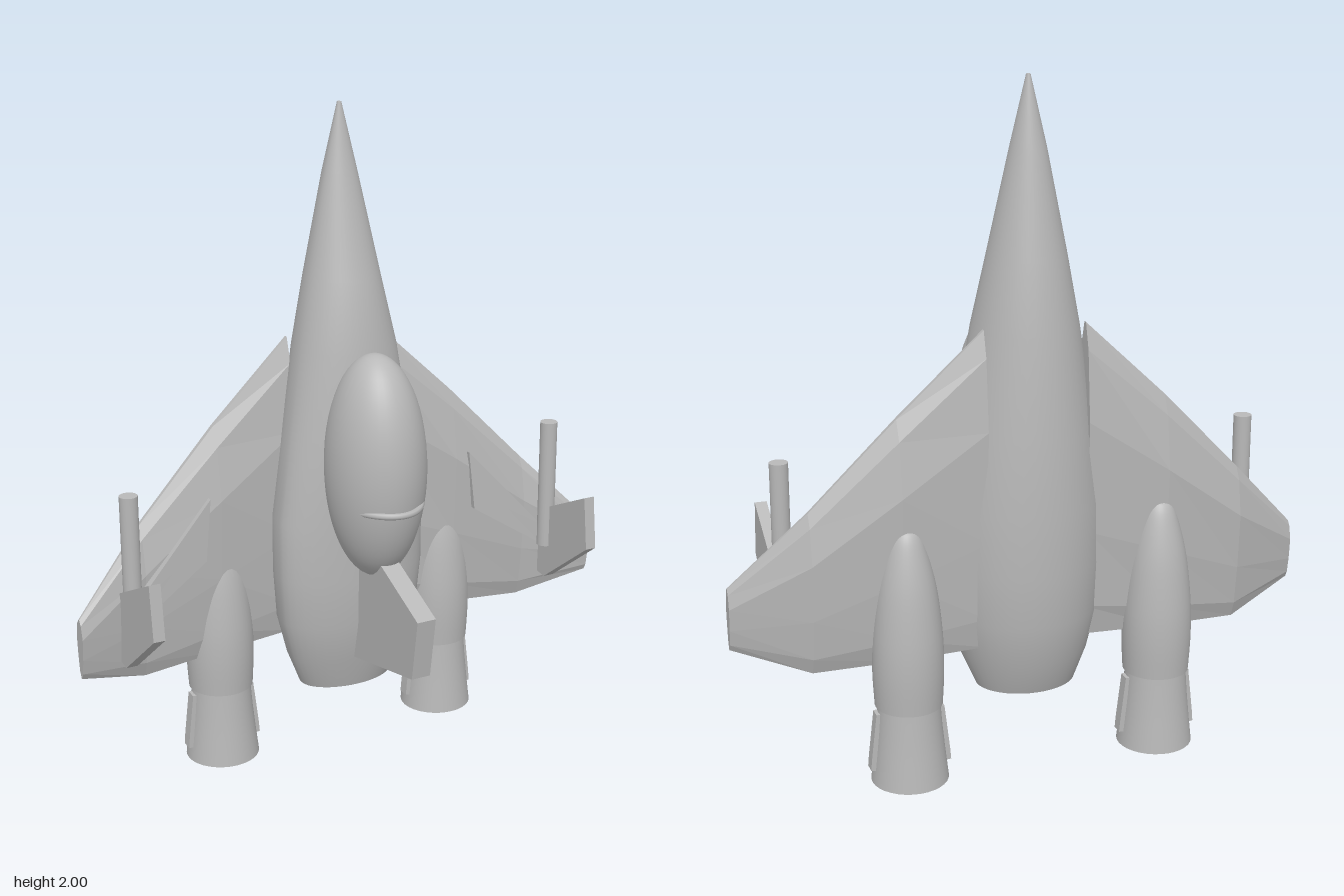
import * as THREE from 'three';

const V = (x, y, z) => new THREE.Vector3(x, y, z);

// Skin over closed rings (counter-clockwise seen from the end), with flat caps
function loft(rings, flat) {
  const pos = [], idx = [], n = rings[0].length;
  const ring = r => { const s = pos.length / 3; r.forEach(p => pos.push(p.x, p.y, p.z)); return s; };
  rings.forEach(ring);
  for (let i = 0; i < rings.length - 1; i++) for (let j = 0; j < n; j++) {
    const a = i * n + j, b = i * n + (j + 1) % n;
    idx.push(a, b, b + n, a, b + n, a + n);
  }
  [rings[0], rings[rings.length - 1]].forEach((r, end) => {
    const s = ring(r), c = s + n;
    const m = r.reduce((t, p) => t.add(p), V(0, 0, 0)).divideScalar(n);
    pos.push(m.x, m.y, m.z);
    for (let j = 0; j < n; j++) {
      const k = (j + 1) % n;
      if (end) idx.push(c, s + j, s + k); else idx.push(c, s + k, s + j);
    }
  });
  let g = new THREE.BufferGeometry();
  g.setAttribute('position', new THREE.Float32BufferAttribute(pos, 3));
  g.setIndex(idx);
  if (flat) g = g.toNonIndexed();
  g.computeVertexNormals();
  return g;
}

// Flip rings to the other side of x = 0
const mirror = rings => rings.map(r => r.map(p => V(-p.x, p.y, p.z)).reverse());

// Upright plate from [z, y] corners, thick along x
const plate = (pts, x, t) => loft([x - t / 2, x + t / 2].map(px => pts.map(([z, y]) => V(px, y, z))), true);

export function createModel() {
  const model = new THREE.Group();
  const grey = new THREE.MeshStandardMaterial({ color: 0xb8b8b8 });
  grey.name = 'grey';
  const add = (name, geo, x = 0, y = 0, z = 0, parent = model) => {
    const m = new THREE.Mesh(geo, grey);
    m.name = name;
    m.position.set(x, y, z);
    parent.add(m);
    return m;
  };

  // Hull: y, half width, front z, z of widest point, back z
  const hullRows = [
    [0.22, 0.15, -0.06, -0.15, -0.27], [0.32, 0.192, -0.03, -0.13, -0.31],
    [0.45, 0.226, 0, -0.12, -0.335], [0.6, 0.238, 0.005, -0.11, -0.343],
    [0.78, 0.238, 0.01, -0.11, -0.345], [1.0, 0.205, 0.01, -0.12, -0.335],
    [1.3, 0.155, 0, -0.14, -0.31], [1.5, 0.115, -0.05, -0.155, -0.277],
    [1.8, 0.053, -0.125, -0.165, -0.222], [2.0, 0.006, -0.162, -0.168, -0.176],
  ];
  add('hull', loft(hullRows.map(([y, w, f, c, b]) =>
    Array.from({ length: 40 }, (_, i) => {
      const a = i / 40 * Math.PI * 2, k = Math.cos(a);
      return V(w * Math.sin(a), y, c + k * (k > 0 ? f - c : c - b));
    }))));

  // Canopy bubble and the rim across its lower front
  const canopy = new THREE.SphereGeometry(1, 40, 28).scale(0.146, 0.34, 0.17);
  add('canopy', canopy, 0, 0.972, 0.05);
  const rimPath = new THREE.CatmullRomCurve3(Array.from({ length: 13 }, (_, i) => {
    const a = (i / 12 - 0.5) * 2.5;
    return V(0.128 * Math.sin(a), 0, 0.015 + 0.21 * Math.cos(a));
  }));
  add('canopyRim', new THREE.TubeGeometry(rimPath, 32, 0.01, 8), 0, 0.875, 0);

  // Central fin below the canopy
  add('centreFin', plate([[-0.04, 0.775], [0.36, 0.6], [0.33, 0.41], [-0.04, 0.33]], 0, 0.06));

  // Wing sections: x, leading y, trailing y, centre z, half thickness
  const wingRows = [
    [0.15, 1.315, 0.37, -0.228, 0.048], [0.4, 1.08, 0.357, -0.215, 0.06],
    [0.65, 0.825, 0.345, -0.19, 0.046], [0.87, 0.6, 0.415, -0.115, 0.025],
  ];
  const foil = [[0, 0.12], [0.08, 0.6], [0.3, 1], [0.65, 0.8], [0.9, 0.5], [1, 0.12]];
  const wing = wingRows.map(([x, lead, trail, z, h]) => [
    ...foil.map(([t, k]) => V(x, lead + (trail - lead) * t, z + h * k)),
    ...foil.slice().reverse().map(([t, k]) => V(x, lead + (trail - lead) * t, z - h * k)),
  ]);

  // Pylon plate between wing and gun, counter-clockwise seen from the front
  const pylonPts = [[0.44, 0.88, -0.145], [0.46, 0.69, -0.14], [0.7, 0.535, -0.115], [0.7, 0.6, -0.115]];
  const pylon = [-0.025, 0].map(d => pylonPts.map(([x, y, z]) => V(x, y, z + d)));

  // Engine pod and hollow nozzle outlines: radius, y
  const lathe = pts => new THREE.LatheGeometry(pts.map(p => new THREE.Vector2(...p)), 32);
  const podCurve = new THREE.SplineCurve([
    [0.098, 0.235], [0.103, 0.34], [0.1, 0.45], [0.084, 0.59], [0.058, 0.7], [0.034, 0.757], [0, 0.777],
  ].map(p => new THREE.Vector2(...p)));
  const podProfile = podCurve.getPoints(24).map(p => [Math.max(p.x, 0), p.y]);

  for (const s of [1, -1]) {
    const side = s > 0 ? 'left' : 'right';
    const sided = rings => (s > 0 ? rings : mirror(rings));
    add(side + 'Wing', loft(sided(wing), true));
    add(side + 'GunPylon', loft(sided(pylon), true));
    add(side + 'Gun', new THREE.CylinderGeometry(0.027, 0.027, 0.415, 20), s * 0.708, 0.745, -0.105);
    add(side + 'WingFin', plate([[-0.14, 0.645], [0.11, 0.765], [0.13, 0.6], [-0.1, 0.425], [-0.14, 0.43]], s * 0.722, 0.035));

    // Engine
    const engine = new THREE.Group();
    engine.name = side + 'Engine';
    engine.position.set(s * 0.383, 0, -0.242);
    model.add(engine);
    add('pod', lathe(podProfile), 0, 0, 0, engine);
    add('podBase', new THREE.CircleGeometry(0.098, 32).rotateX(Math.PI / 2), 0, 0.235, 0, engine);
    add('nozzleOuter', lathe([[0.113, 0], [0.104, 0.08], [0.096, 0.16], [0.09, 0.24]]), 0, 0, 0, engine);
    add('nozzleLip', new THREE.RingGeometry(0.085, 0.113, 32).rotateX(Math.PI / 2), 0, 0, 0, engine);
    add('nozzleInner', lathe([[0, 0.17], [0.075, 0.17], [0.085, 0]]), 0, 0, 0, engine);

    // Small vanes on both sides of the nozzle
    const vane = [-0.018, 0.018].map(z =>
      [[0.08, 0.04], [0.12, 0.045], [0.117, 0.08], [0.101, 0.218], [0.08, 0.218]].map(([x, y]) => V(x, y, z)));
    add('outerVane', loft(vane, true), 0, 0, 0, engine);
    add('innerVane', loft(mirror(vane), true), 0, 0, 0, engine);
  }
  return model;
}
